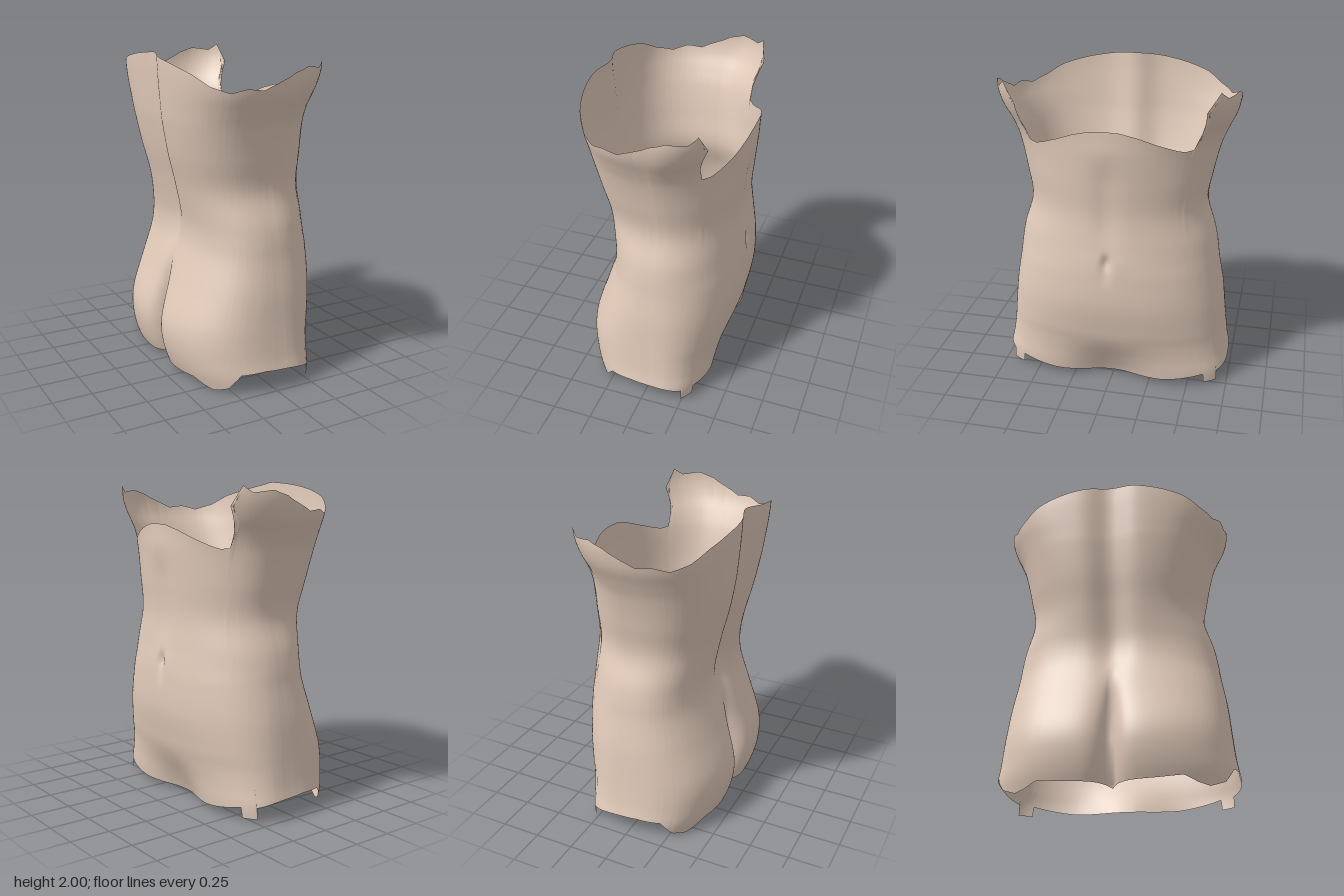
import * as THREE from 'three';

// Body profile by height: [y, back x, front x, half width, front squareness, back squareness]
const PROFILE = [
  [0.00, -0.42, 0.37, 0.75, 3.0, 2.8], [0.10, -0.46, 0.382, 0.745, 3.0, 2.8],
  [0.20, -0.485, 0.395, 0.725, 2.8, 2.8], [0.30, -0.492, 0.415, 0.712, 2.6, 2.8],
  [0.40, -0.475, 0.44, 0.702, 2.5, 2.8], [0.60, -0.407, 0.475, 0.683, 2.3, 2.7],
  [0.80, -0.345, 0.478, 0.65, 2.2, 2.6], [0.90, -0.33, 0.472, 0.637, 2.1, 2.6],
  [1.00, -0.335, 0.46, 0.617, 2.1, 2.6], [1.20, -0.378, 0.445, 0.56, 2.1, 2.6],
  [1.40, -0.427, 0.46, 0.588, 2.0, 2.7], [1.60, -0.462, 0.478, 0.635, 1.87, 2.8],
  [1.70, -0.472, 0.478, 0.675, 1.95, 2.8], [1.80, -0.48, 0.478, 0.72, 2.25, 2.8],
  [1.90, -0.487, 0.475, 0.74, 2.6, 2.8], [2.00, -0.49, 0.47, 0.735, 2.9, 2.8],
];

// Open edges: [angle from the belly (0) round to the spine (PI), y]
const TOP_EDGE = [
  [0, 1.75], [0.12, 1.745], [0.3, 1.715], [0.5, 1.67], [0.7, 1.63], [0.8, 1.615], [0.9, 1.62],
  [0.91, 1.72], [0.925, 1.88], [0.95, 1.975], [1.11, 1.935], [1.37, 1.95], [1.53, 1.92],
  [1.62, 1.87], [1.74, 1.83], [1.91, 1.84], [2.1, 1.815], [2.35, 1.85], [2.57, 1.91],
  [2.8, 1.95], [Math.PI, 2.0],
];
const BOTTOM_EDGE = [
  [0, 0.03], [0.3, 0.045], [0.55, 0.07], [0.815, 0.095], [0.82, 0.03], [1.07, 0.03], [1.08, 0.1],
  [1.4, 0.125], [1.7, 0.14], [1.98, 0.13], [2.19, 0.04], [2.41, 0.005], [2.54, 0.02],
  [2.68, 0.055], [2.9, 0.04], [Math.PI, 0.03],
];

// Sideways lean of the raised strap's front edge: [y, angle shift]
const STRAP_LEAN = [[1.7, 0], [1.75, 0.01], [1.86, -0.11], [1.92, -0.04], [1.98, 0.02]];

const CX = 0.05; // depth at which the body is widest

function linear(table, t) {
  let i = 0;
  while (i < table.length - 2 && t > table[i + 1][0]) i++;
  const [a, b] = [table[i], table[i + 1]];
  return THREE.MathUtils.lerp(a[1], b[1], (t - a[0]) / (b[0] - a[0]));
}

// Smooth (cubic Hermite) lookup of one profile column
function smooth(y, col) {
  const P = PROFILE;
  let i = 0;
  while (i < P.length - 2 && y > P[i + 1][0]) i++;
  const slope = (k) => {
    const a = P[Math.max(k - 1, 0)], b = P[Math.min(k + 1, P.length - 1)];
    return (b[col] - a[col]) / (b[0] - a[0]);
  };
  const h = P[i + 1][0] - P[i][0];
  const s = (y - P[i][0]) / h, s2 = s * s, s3 = s2 * s;
  return P[i][col] * (2 * s3 - 3 * s2 + 1) + slope(i) * h * (s3 - 2 * s2 + s)
    + P[i + 1][col] * (3 * s2 - 2 * s3) + slope(i + 1) * h * (s3 - s2);
}

const bell = (d, width) => Math.exp(-((d / width) ** 2));
const fade = THREE.MathUtils.smoothstep;

// Point on the skin at angle t (0..PI) and height y, on the +z half
function skinPoint(t, y) {
  const lean = y > 1.7 ? linear(STRAP_LEAN, y) * bell(t - 0.92, 0.22) * fade(t, 0, 0.3) : 0;
  const c = Math.cos(t + lean), s = Math.max(Math.sin(t + lean), 0);
  const front = c >= 0;
  const n = smooth(y, front ? 4 : 5);
  const reach = front ? smooth(y, 2) - CX : CX - smooth(y, 1);
  const z = t > Math.PI - 1e-6 ? 0 : smooth(y, 3) * s ** (2 / n);
  let x = CX + Math.sign(c) * reach * Math.abs(c) ** (2 / n);
  if (front) {
    // lower belly turning under, midline furrow, navel
    x -= 0.11 * bell(z, 0.24) * (1 - fade(y, -0.05, 0.36));
    x -= 0.015 * bell(z, 0.08) * fade(y, 0.85, 1.15) * (1 - fade(y, 1.4, 1.65));
    x -= 0.022 * bell(z, 0.03) * bell(y - 0.91, 0.045);
    x -= 0.01 * bell(z, 0.04) * bell(y - 0.85, 0.07);
  } else {
    // spine furrow and the cleft below it
    x += 0.05 * bell(z, 0.11) * fade(y, 0.6, 1.3);
    x += 0.025 * bell(z, 0.09) * bell(y - 0.85, 0.25);
    x += 0.165 * Math.exp(-Math.abs(z) / 0.05) * (1 - fade(y, 0.3, 0.8));
  }
  return [x, y, z];
}

function torsoGeometry() {
  // Angles are denser at belly and spine, and include every edge corner
  const STEPS = 110, ROWS = 90;
  const angles = [...TOP_EDGE, ...BOTTOM_EDGE].map((p) => p[0]);
  for (let i = 1; i < STEPS; i++) {
    const s = i / STEPS;
    angles.push(Math.PI * (s - 0.6 * Math.sin(2 * Math.PI * s) / (2 * Math.PI)));
  }
  angles.sort((a, b) => a - b);
  const half = angles.filter((t, i) => i === 0 || t - angles[i - 1] > 1e-5);
  const ring = half.map((t) => [t, 1]);
  for (let i = half.length - 2; i > 0; i--) ring.push([half[i], -1]);

  const position = [], index = [];
  for (const [t, side] of ring) {
    const y0 = linear(BOTTOM_EDGE, t), y1 = linear(TOP_EDGE, t);
    for (let j = 0; j <= ROWS; j++) {
      const [x, y, z] = skinPoint(t, y0 + (y1 - y0) * j / ROWS);
      position.push(x, y, z * side);
    }
  }
  const W = ROWS + 1;
  for (let i = 0; i < ring.length; i++) {
    const next = (i + 1) % ring.length;
    for (let j = 0; j < ROWS; j++) {
      const a = i * W + j, b = next * W + j;
      index.push(a, a + 1, b, b, a + 1, b + 1);
    }
  }
  const geometry = new THREE.BufferGeometry();
  geometry.setAttribute('position', new THREE.Float32BufferAttribute(position, 3));
  geometry.setIndex(index);
  geometry.computeVertexNormals();
  return geometry;
}

export function createModel() {
  const group = new THREE.Group();
  group.name = 'torsoShell';
  const skin = new THREE.MeshStandardMaterial({ color: 0xe2cbba, side: THREE.DoubleSide });
  const torso = new THREE.Mesh(torsoGeometry(), skin);
  torso.name = 'torso';
  group.add(torso);
  return group;
}
